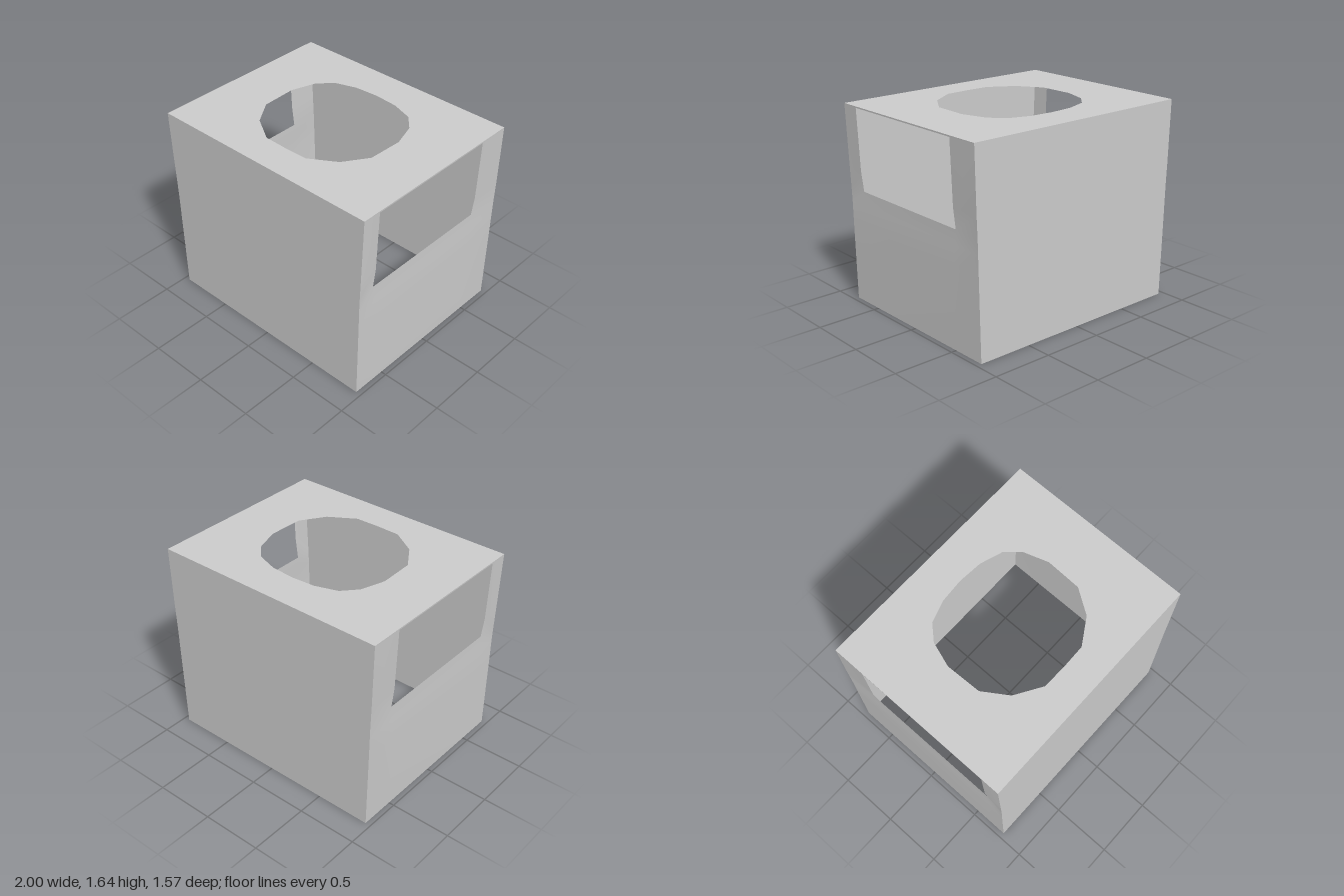
import * as THREE from 'three';

const DEPTH = 0.787, HEIGHT = 1.64;

// Side wall levels: y, x at the front edge, x at the window, x at the back edge, window z front, window z back
const LEVELS = [
  [0, 0.955, 0.955, 0.955, 0.56, -0.5],
  [0.65, 0.966, 0.965, 0.971, 0.56, -0.5],
  [0.83, 0.968, 0.96, 0.975, 0.6, -0.51],
  [0.95, 0.972, 0.957, 0.978, 0.63, -0.52],
  [1.12, 0.979, 0.978, 0.985, 0.63, -0.52],
  [1.628, 0.999, 0.999, 0.999, 0.63, -0.52],
  [HEIGHT, 1, 1, 1, 0.63, -0.52],
];

// Half outline of the round opening in the top, as x, z
const OPENING = [
  [0, -0.49], [0.2, -0.475], [0.38, -0.415], [0.485, -0.3], [0.55, -0.1],
  [0.54, 0.19], [0.41, 0.385], [0.2, 0.515], [0, 0.52],
];

// Closed outline from its right half, mirrored in x
function mirrored(half) {
  const left = half.filter(([x]) => x > 0).map(([x, y]) => [-x, y]).reverse();
  return [...half, ...left].map(([x, y]) => new THREE.Vector2(x, y));
}

// Thin side wall with a window cut out; side is 1 or -1
function sideWall(side) {
  const positions = [], indices = [];
  for (const [y, xFront, xMid, xBack, zFront, zBack] of LEVELS) {
    positions.push(side * xFront, y, DEPTH, side * xMid, y, zFront);
    positions.push(side * xMid, y, zBack, side * xBack, y, -DEPTH);
  }
  for (let row = 0; row < LEVELS.length - 1; row++) {
    for (let col = 0; col < 3; col++) {
      if (col === 1 && (row === 3 || row === 4)) continue; // window
      const a = row * 4 + col, b = a + 1, c = a + 5, d = a + 4;
      if (side > 0) indices.push(a, b, c, a, c, d);
      else indices.push(a, c, b, a, d, c);
    }
  }
  const geometry = new THREE.BufferGeometry();
  geometry.setAttribute('position', new THREE.Float32BufferAttribute(positions, 3));
  geometry.setIndex(indices);
  geometry.computeVertexNormals();
  return geometry;
}

export function createModel() {
  const group = new THREE.Group();
  const material = new THREE.MeshStandardMaterial({ color: 0xcccccc, side: THREE.DoubleSide });
  const add = (name, geometry) => {
    const mesh = new THREE.Mesh(geometry, material);
    mesh.name = name;
    group.add(mesh);
    return mesh;
  };

  // Front and back panels follow the edges of the side walls
  const panel = (column) =>
    new THREE.ShapeGeometry(new THREE.Shape(mirrored(LEVELS.map((level) => [level[column], level[0]]))));
  add('frontPanel', panel(1)).position.z = DEPTH;
  const back = add('backPanel', panel(3));
  back.position.z = -DEPTH;
  back.rotation.y = Math.PI;

  // Side walls with windows
  add('leftWall', sideWall(1));
  add('rightWall', sideWall(-1));

  // Top with the round opening; the bottom stays open
  const top = new THREE.Shape(mirrored([[1, -DEPTH], [1, DEPTH]]));
  top.holes.push(new THREE.Path(mirrored(OPENING.map(([x, z]) => [x, -z]))));
  const topGeometry = new THREE.ShapeGeometry(top);
  topGeometry.rotateX(-Math.PI / 2);
  add('topPanel', topGeometry).position.y = HEIGHT;

  return group;
}
